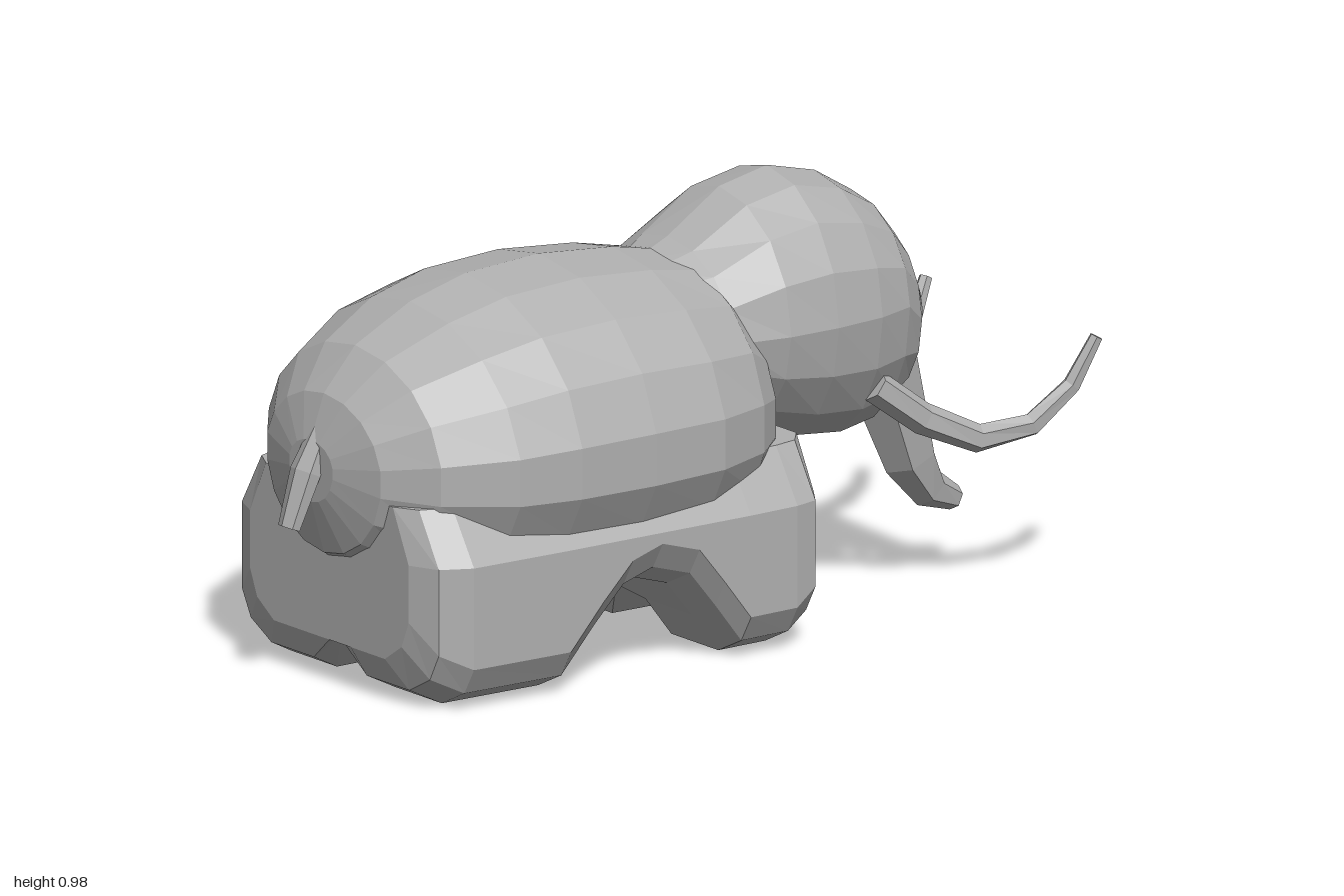
import * as THREE from 'three';

const V = (x, y, z) => new THREE.Vector3(x, y, z);

// Faceted skin through equal-sized rings of points, closed at both ends
function loft(rings) {
  const tris = [];
  const n = rings[0].length;
  for (let i = 0; i < rings.length - 1; i++) {
    for (let j = 0; j < n; j++) {
      const k = (j + 1) % n;
      const a = rings[i][j], b = rings[i][k], c = rings[i + 1][k], d = rings[i + 1][j];
      tris.push([a, b, c], [a, c, d]);
    }
  }
  const cap = (ring, flip) => {
    const mid = ring.reduce((s, p) => s.add(p), V(0, 0, 0)).divideScalar(n);
    for (let j = 0; j < n; j++) {
      const a = ring[j], b = ring[(j + 1) % n];
      tris.push(flip ? [b, a, mid] : [a, b, mid]);
    }
  };
  cap(rings[0], true);
  cap(rings[rings.length - 1], false);
  // Turn the skin outward if its signed volume is negative
  const volume = tris.reduce((s, [a, b, c]) => s + a.dot(b.clone().cross(c)), 0);
  if (volume < 0) tris.forEach((t) => t.reverse());
  const geo = new THREE.BufferGeometry().setFromPoints(tris.flat());
  geo.computeVertexNormals();
  return geo;
}

// Upright oval at a station [z, halfWidth, top, bottom], widest at height mid(z)
function oval([z, w, top, bottom], sides, mid) {
  const pts = [];
  for (let j = 0; j < sides; j++) {
    const a = (j / sides) * Math.PI * 2;
    const c = Math.cos(a);
    pts.push(V(w * Math.sin(a), mid + c * (c > 0 ? top - mid : mid - bottom), z));
  }
  return pts;
}

// Tapered limb along stations [x, y, z, radius]
function limb(stations, sides, squash = 1) {
  const p = stations.map(([x, y, z]) => V(x, y, z));
  return loft(stations.map(([, , , r], i) => {
    const t = p[Math.min(i + 1, p.length - 1)].clone().sub(p[Math.max(i - 1, 0)]).normalize();
    const n = t.clone().cross(V(1, 0, 0)).normalize();
    const b = n.clone().cross(t);
    return Array.from({ length: sides }, (_, j) => {
      const a = ((j + 0.5) / sides) * Math.PI * 2;
      return p[i].clone().addScaledVector(b, r * Math.cos(a)).addScaledVector(n, r * squash * Math.sin(a));
    });
  }));
}

// Section of the leg block at a station [z, halfWidth, bottom], grooved in the middle
function legSection([z, w, bot]) {
  const half = [
    [w * 0.8, 0.45], [w, 0.33], [w, bot + 0.1], [w * 0.91, bot + 0.04],
    [w * 0.7, bot], [w * 0.27, bot],
  ];
  const right = half.map(([x, y]) => V(x, y, z));
  const left = half.map(([x, y]) => V(-x, y, z)).reverse();
  return [V(0, 0.45, z), ...right, V(0, Math.max(bot, 0.1), z), ...left];
}

export function createModel() {
  const group = new THREE.Group();
  const grey = new THREE.MeshStandardMaterial({ color: 0xb0b0b0 });
  grey.name = 'grey hide';
  const add = (name, geo) => {
    const mesh = new THREE.Mesh(geo, grey);
    mesh.name = name;
    group.add(mesh);
  };

  // Torso, tail end first
  add('torso', loft([
    [0.92, 0.08, 0.56, 0.42], [0.885, 0.21, 0.66, 0.3], [0.8, 0.32, 0.755, 0.25],
    [0.65, 0.41, 0.83, 0.22], [0.5, 0.435, 0.87, 0.21], [0.3, 0.437, 0.882, 0.205],
    [0.1, 0.42, 0.865, 0.21], [-0.05, 0.36, 0.835, 0.22], [-0.14, 0.28, 0.74, 0.25],
    [-0.19, 0.18, 0.62, 0.3],
  ].map((s) => oval(s, 18, 0.5))));

  // Four merged stubby legs, with an arch under the belly
  add('legs', loft([
    [0.87, 0.29, 0.1], [0.84, 0.36, 0.035], [0.77, 0.395, 0], [0.51, 0.4, 0],
    [0.42, 0.4, 0.1], [0.34, 0.4, 0.18], [0.26, 0.4, 0.205], [0.16, 0.4, 0.175],
    [0.09, 0.4, 0.09], [0.02, 0.4, 0], [-0.11, 0.395, 0], [-0.17, 0.38, 0.035],
    [-0.21, 0.32, 0.1],
  ].map(legSection)));

  // Domed head, sunk into the shoulders
  add('head', loft([
    [0.05, 0.15, 0.82, 0.6], [-0.05, 0.24, 0.865, 0.5], [-0.19, 0.265, 0.955, 0.41],
    [-0.32, 0.265, 0.982, 0.37], [-0.45, 0.25, 0.95, 0.355], [-0.55, 0.215, 0.89, 0.37],
    [-0.62, 0.165, 0.81, 0.42], [-0.67, 0.1, 0.71, 0.48], [-0.69, 0.04, 0.65, 0.55],
  ].map((s) => oval(s, 16, s[0] < -0.6 ? 0.62 : 0.67))));

  // Trunk with a turned-out tip
  add('trunk', limb([
    [0, 0.6, -0.59, 0.105], [0, 0.42, -0.65, 0.085], [0, 0.26, -0.705, 0.065],
    [0, 0.18, -0.76, 0.045], [0, 0.148, -0.83, 0.028],
  ], 6));

  // Upswept tusks
  for (const s of [1, -1]) {
    add(s > 0 ? 'leftTusk' : 'rightTusk', limb([
      [0.19, 0.5, -0.47, 0.037], [0.205, 0.41, -0.59, 0.036], [0.235, 0.35, -0.72, 0.032],
      [0.27, 0.37, -0.84, 0.027], [0.295, 0.45, -0.93, 0.021], [0.312, 0.555, -0.985, 0.015],
    ].map(([x, y, z, r]) => [s * x, y, z, r]), 6));
  }

  // Short tail
  add('tail', limb([
    [0, 0.59, 0.885, 0.03], [0, 0.49, 0.935, 0.042], [0, 0.37, 0.98, 0.03],
  ], 6, 0.7));

  return group;
}
